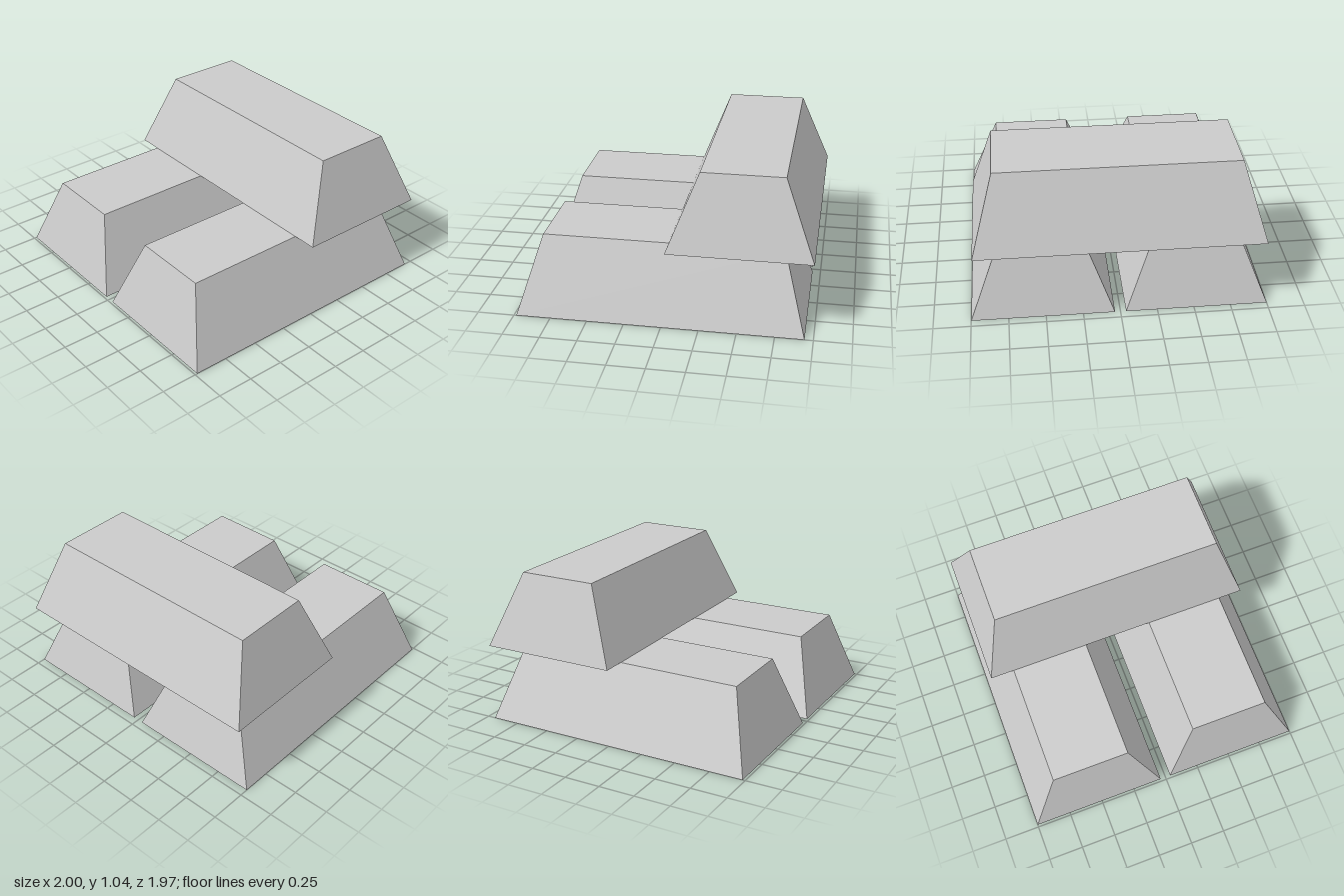
import * as THREE from 'three';

const WIDTH = 0.962, LENGTH = 1.926, HEIGHT = 0.52;
const TOP_WIDTH = 0.55, TOP_LENGTH = 1.62;

// Ingot: a box standing on y = 0 whose top face is drawn in
function ingotGeometry() {
  const geometry = new THREE.BoxGeometry(WIDTH, HEIGHT, LENGTH);
  geometry.translate(0, HEIGHT / 2, 0);
  const p = geometry.attributes.position;
  for (let i = 0; i < p.count; i++) {
    if (p.getY(i) > HEIGHT / 2) {
      p.setX(i, Math.sign(p.getX(i)) * TOP_WIDTH / 2);
      p.setZ(i, Math.sign(p.getZ(i)) * TOP_LENGTH / 2);
    }
  }
  geometry.computeVertexNormals();
  return geometry;
}

export function createModel() {
  const group = new THREE.Group();
  group.name = 'ingotStack';
  const geometry = ingotGeometry();
  const material = new THREE.MeshStandardMaterial({ color: 0xcccccc, flatShading: true });

  function addIngot(name, x, y, z, turn = 0) {
    const ingot = new THREE.Mesh(geometry, material);
    ingot.name = name;
    ingot.position.set(x, y, z);
    ingot.rotation.y = turn;
    group.add(ingot);
  }

  // Two ingots side by side, with a third laid across their back ends
  addIngot('leftIngot', 0.518, 0, 0.02);
  addIngot('rightIngot', -0.519, 0, 0.02);
  addIngot('topIngot', 0, HEIGHT, -0.502, Math.PI / 2);
  return group;
}
